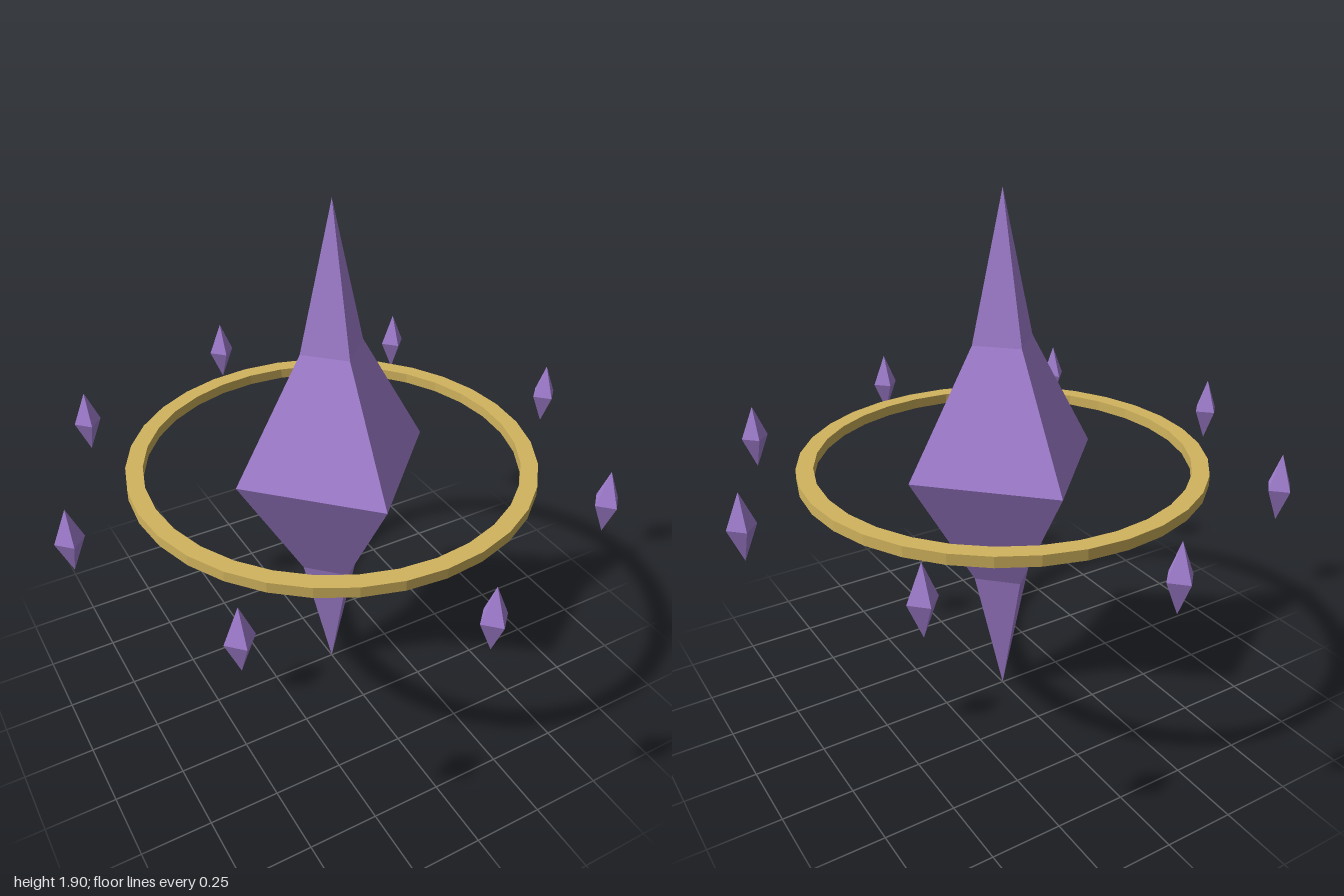
import * as THREE from 'three';

const CENTER_Y = 0.95;

// Faceted solid of revolution from [radius, y] pairs
function facetedLathe(profile, sides) {
  const points = profile.map(([r, y]) => new THREE.Vector2(r, y));
  const geometry = new THREE.LatheGeometry(points, sides).toNonIndexed();
  geometry.computeVertexNormals();
  return geometry;
}

export function createModel() {
  const amethyst = new THREE.MeshStandardMaterial({ color: 0xa682d6, flatShading: true });
  amethyst.name = 'amethyst';
  const gold = new THREE.MeshStandardMaterial({ color: 0xd2b45e, flatShading: true });
  gold.name = 'gold';

  const model = new THREE.Group();
  model.name = 'floatingCrystal';

  function add(name, geometry, material, x = 0, z = 0) {
    const mesh = new THREE.Mesh(geometry, material);
    mesh.name = name;
    mesh.position.set(x, CENTER_Y, z);
    model.add(mesh);
  }

  // Four-sided main crystal with drawn-out tips
  add('mainCrystal', facetedLathe([
    [0, -0.95], [0.12, -0.445], [0.373, 0], [0.12, 0.445], [0, 0.95],
  ], 4), amethyst);

  // Flat band ring with a rectangular section
  add('ring', facetedLathe([
    [0.66, -0.019], [0.72, -0.019], [0.72, 0.019], [0.66, 0.019], [0.66, -0.019],
  ], 32), gold);

  // Eight small shards around the ring, all facing the same way
  const shard = facetedLathe([[0, -0.12], [0.05, 0], [0, 0.12]], 4);
  for (let i = 0; i < 8; i++) {
    const angle = (i * Math.PI) / 4;
    add(`shard${i + 1}`, shard, amethyst, 0.95 * Math.cos(angle), 0.95 * Math.sin(angle));
  }

  return model;
}
